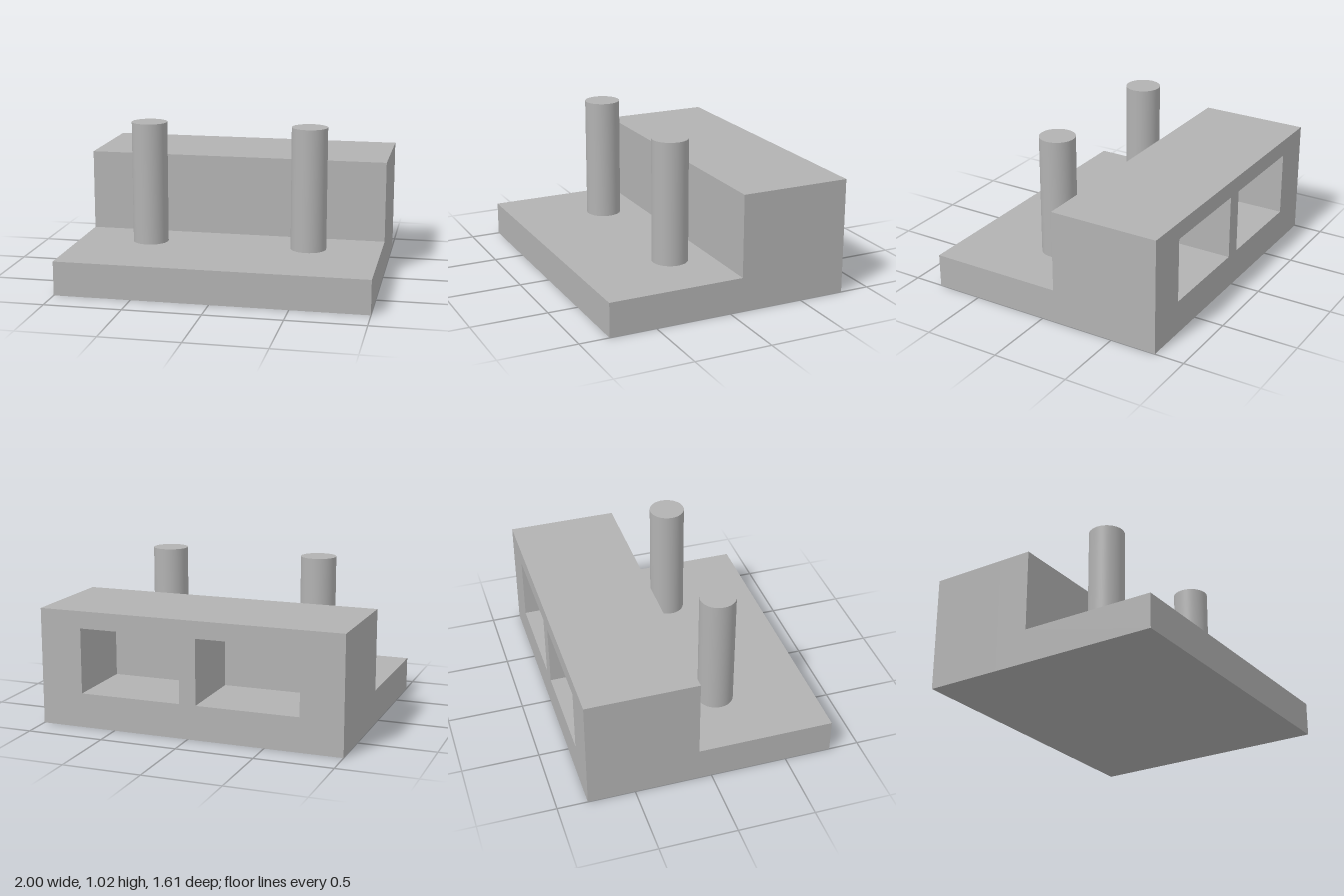
import * as THREE from 'three';

const BACK = -0.805, FRONT = 0.805;      // z limits
const STEP = -0.083, POCKET_END = -0.3;  // step face and pocket depth in z
const BASE = 0.222, TOP = 0.756;         // slab and block heights

function polygon(points) {
  return new THREE.Shape(points.map(([x, y]) => new THREE.Vector2(x, y)));
}

function rectangle(x0, y0, x1, y1) {
  return polygon([[x0, y0], [x1, y0], [x1, y1], [x0, y1]]);
}

export function createModel() {
  const group = new THREE.Group();
  group.name = 'steppedBlock';
  const grey = new THREE.MeshStandardMaterial({ color: 0xb2b2b2 });
  grey.name = 'plain grey';

  function add(name, geometry) {
    const mesh = new THREE.Mesh(geometry, grey);
    mesh.name = name;
    group.add(mesh);
    return mesh;
  }

  // Front slab and step wall: an L profile (-z, y) extruded across x
  const profile = polygon([
    [-FRONT, 0], [-POCKET_END, 0], [-POCKET_END, TOP],
    [-STEP, TOP], [-STEP, BASE], [-FRONT, BASE],
  ]);
  const body = new THREE.ExtrudeGeometry(profile, { depth: 2, bevelEnabled: false });
  body.translate(0, 0, -1).rotateY(Math.PI / 2);
  add('slabAndStep', body);

  // Rear block with two rectangular pockets open to the back
  const rear = rectangle(-1, 0, 1, TOP);
  rear.holes.push(
    rectangle(-0.724, BASE, -0.054, 0.645),
    rectangle(0.054, BASE, 0.724, 0.645),
  );
  const block = new THREE.ExtrudeGeometry(rear, { depth: POCKET_END - BACK, bevelEnabled: false });
  block.translate(0, 0, BACK);
  add('pocketedBlock', block);

  // Two round posts standing on the slab
  const postHeight = 1.022 - BASE;
  for (const side of [-1, 1]) {
    const post = add(side > 0 ? 'leftPost' : 'rightPost',
      new THREE.CylinderGeometry(0.116, 0.116, postHeight, 64));
    post.position.set(side * 0.528, BASE + postHeight / 2, 0.182);
  }

  return group;
}
